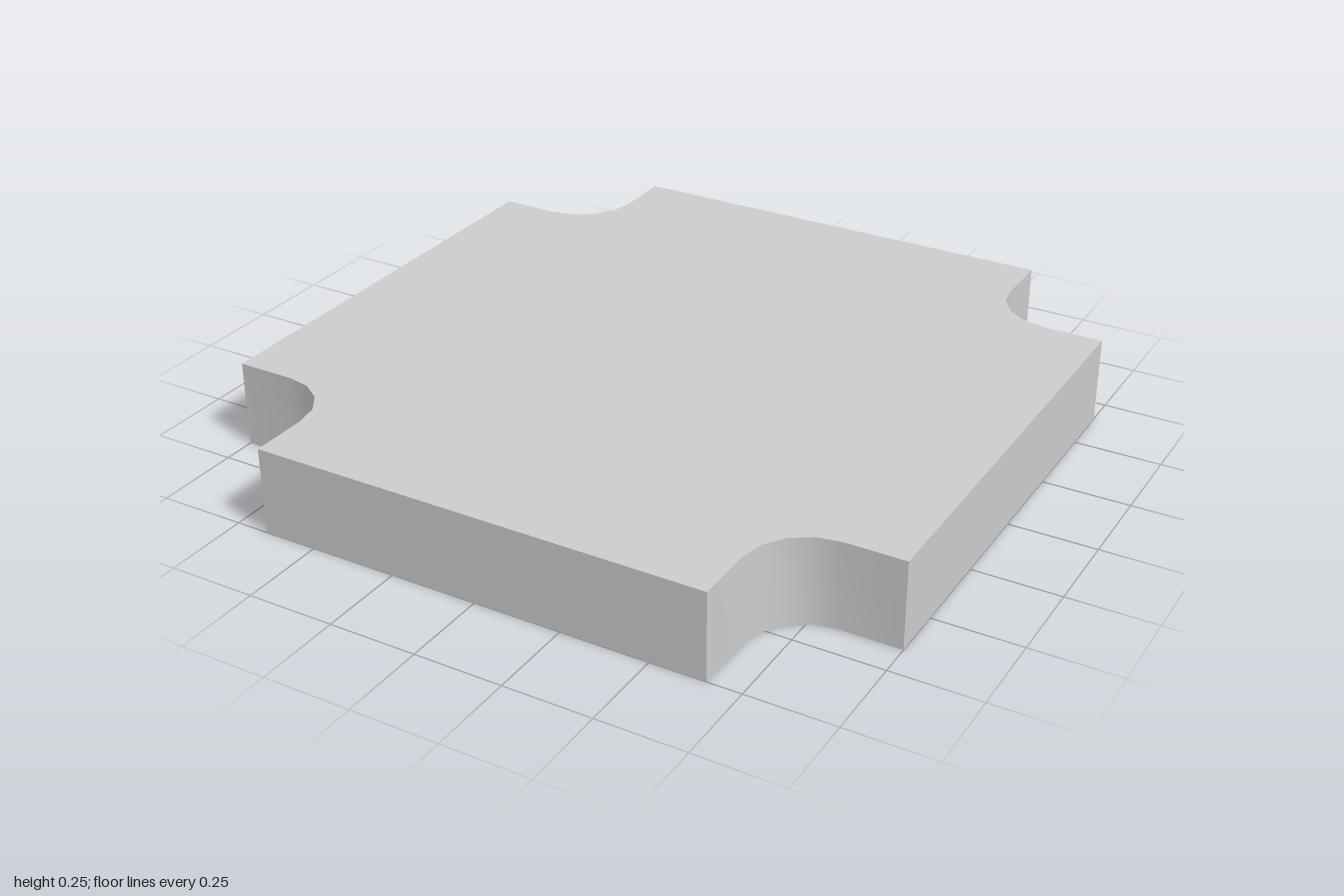
import * as THREE from 'three';
import { toCreasedNormals } from 'three/addons/utils/BufferGeometryUtils.js';

const HALF = 1, HEIGHT = 0.25, NOTCH = 0.655, RADIUS = 0.175, ARC_STEPS = 4;

// Square outline with a rounded notch cut out of each corner
function plateShape() {
  const centre = NOTCH + RADIUS;
  const corner = [new THREE.Vector2(HALF, NOTCH)];
  for (let i = 0; i <= ARC_STEPS; i++) {
    const a = -Math.PI / 2 * (1 + i / ARC_STEPS);
    corner.push(new THREE.Vector2(centre + RADIUS * Math.cos(a), centre + RADIUS * Math.sin(a)));
  }
  corner.push(new THREE.Vector2(NOTCH, HALF));

  const origin = new THREE.Vector2();
  const points = [];
  for (let k = 0; k < 4; k++) {
    for (const p of corner) points.push(p.clone().rotateAround(origin, k * Math.PI / 2));
  }
  return new THREE.Shape(points);
}

export function createModel() {
  const group = new THREE.Group();
  group.name = 'notchedPlate';

  // Flat plate, laid down so its thickness runs along y
  const geometry = new THREE.ExtrudeGeometry(plateShape(), { depth: HEIGHT, bevelEnabled: false });
  geometry.rotateX(-Math.PI / 2);

  const plate = new THREE.Mesh(
    toCreasedNormals(geometry, Math.PI / 6),
    new THREE.MeshStandardMaterial({ color: 0xcccccc })
  );
  plate.name = 'plate';
  group.add(plate);
  return group;
}
